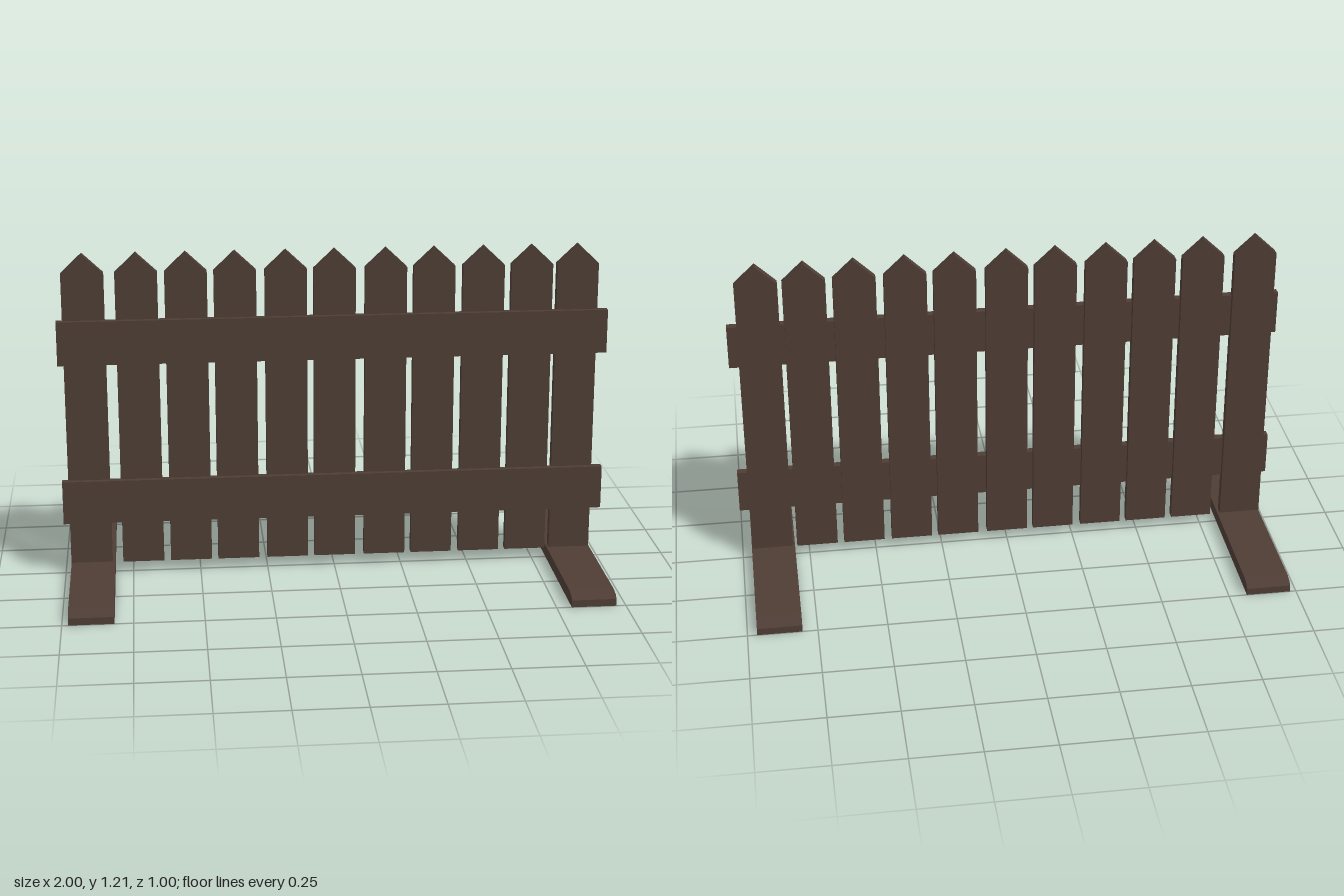
import * as THREE from 'three';

export function createModel() {
  const group = new THREE.Group();
  const wood = new THREE.MeshStandardMaterial({ color: 0x4e3d35, flatShading: true });

  const add = (name, geometry, x, y, z) => {
    const mesh = new THREE.Mesh(geometry, wood);
    mesh.name = name;
    mesh.position.set(x, y, z);
    group.add(mesh);
    return mesh;
  };

  // Extrude an outline of [x, y] points, centred on its thickness
  const board = (points, depth) => {
    const shape = new THREE.Shape(points.map(([x, y]) => new THREE.Vector2(x, y)));
    return new THREE.ExtrudeGeometry(shape, { depth, bevelEnabled: false }).translate(0, 0, -depth / 2);
  };

  // Pointed pickets, slightly unevenly spaced
  const w = 0.076;
  const picket = board([[-w, 0.043], [w, 0.043], [w, 1.14], [0, 1.212], [-w, 1.14]], 0.03);
  const centres = [-0.902, -0.711, -0.534, -0.358, -0.175, 0.001, 0.187, 0.363, 0.543, 0.72, 0.888];
  centres.forEach((x, i) => add(`picket${i + 1}`, picket, x, 0, 0.002));

  // Two horizontal rails let into the front of the pickets
  const rail = new THREE.BoxGeometry(2, 0.162, 0.028);
  add('lowerRail', rail, 0, 0.286, 0.022);
  add('upperRail', rail, 0, 0.889, 0.022);

  // Feet: long planks with eased upper ends, running front to back
  const foot = board([
    [-0.5, 0], [0.5, 0], [0.5, 0.026], [0.487, 0.037], [0.455, 0.045],
    [-0.455, 0.045], [-0.487, 0.037], [-0.5, 0.026],
  ], 0.161).rotateY(Math.PI / 2);
  add('rightFoot', foot, -0.897, 0, 0);
  add('leftFoot', foot, 0.885, 0, 0);

  return group;
}
